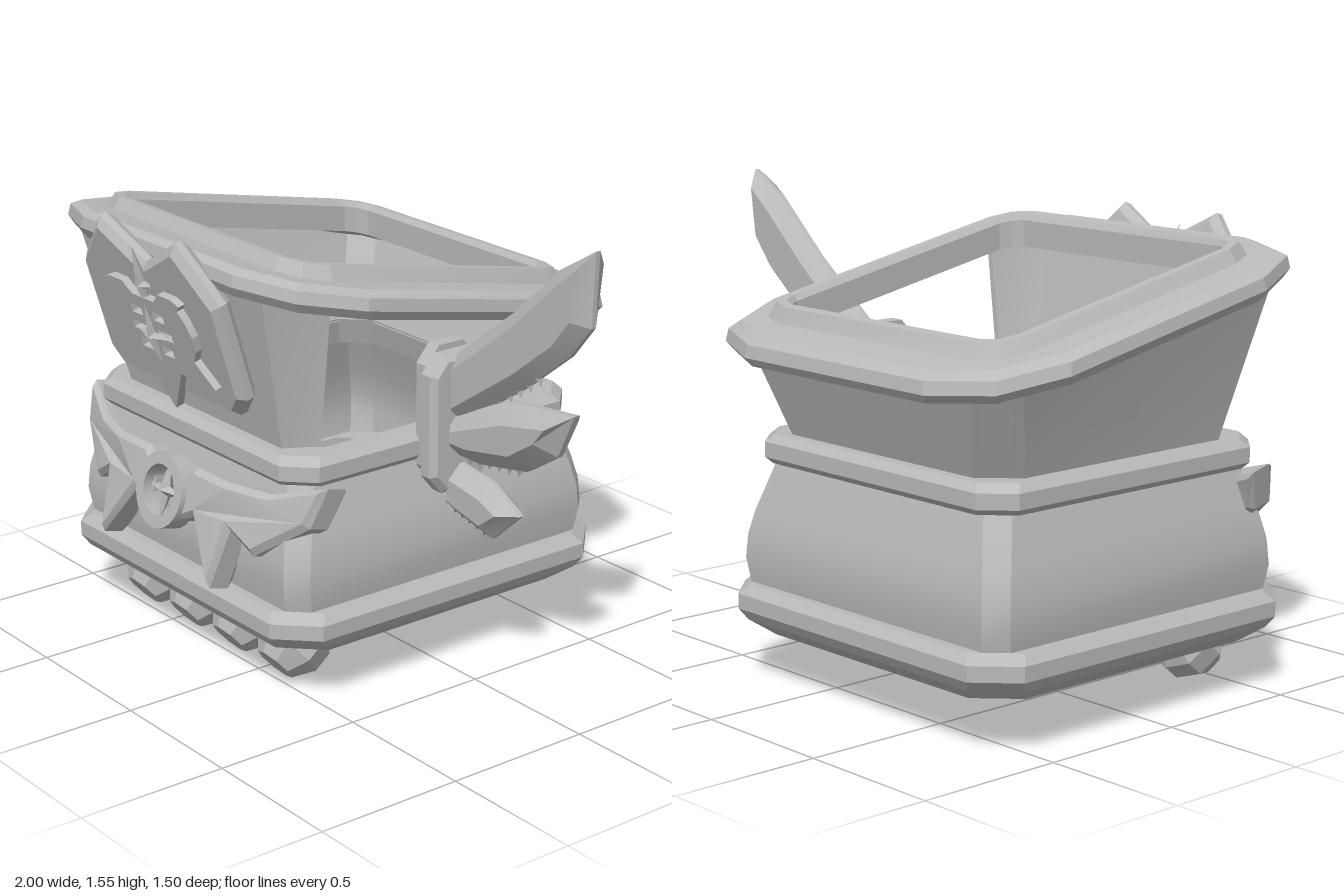
import * as THREE from 'three';
import { toCreasedNormals } from 'three/addons/utils/BufferGeometryUtils.js';

const CX = -0.28, CZ = -0.02; // axis of the hollow body

export function createModel() {
  const model = new THREE.Group();
  // Double sided, as the body is an open shell
  const grey = new THREE.MeshStandardMaterial({ color: 0xbababa, side: THREE.DoubleSide });
  grey.name = 'plain grey';

  const add = (name, geo, parent = model, crease = 0.35) => {
    const mesh = new THREE.Mesh(toCreasedNormals(geo.index ? geo.toNonIndexed() : geo, crease), grey);
    mesh.name = name;
    parent.add(mesh);
    return mesh;
  };

  // Square outline of half width h with cut corners of size c
  const square = (h, c, seg = 1) => {
    const pts = [];
    c = Math.min(c, h);
    for (let q = 0; q < 4; q++) for (let s = 0; s <= seg; s++) {
      const t = (q + s / seg) * Math.PI / 2;
      const sx = q === 0 || q === 3 ? 1 : -1, sz = q < 2 ? 1 : -1;
      pts.push([sx * (h - c) + c * Math.cos(t), sz * (h - c) + c * Math.sin(t)]);
    }
    return pts;
  };

  // Skin between closed outlines; each ring is { pts, y }, tilt raises y towards the front
  const loft = (rings) => {
    const n = rings[0].pts.length, pos = [], idx = [];
    for (const { pts, y, tilt = 0 } of rings)
      for (const [x, z] of pts) pos.push(CX + x, y + tilt * z, CZ + z);
    for (let i = 0; i < rings.length - 1; i++) for (let j = 0; j < n; j++) {
      const a = i * n + j, b = i * n + (j + 1) % n;
      idx.push(a, a + n, b, b, a + n, b + n);
    }
    const g = new THREE.BufferGeometry();
    g.setAttribute('position', new THREE.Float32BufferAttribute(pos, 3));
    g.setIndex(idx);
    return g;
  };
  const stack = (profile, c) => loft(profile.map(([h, y]) => ({ pts: square(h, c), y })));

  const shapeOf = (pts) => new THREE.Shape(pts.map(([x, y]) => new THREE.Vector2(x, y)));
  const mirrored = (half) => [...half, ...half.filter(p => p[0] !== 0).reverse().map(([x, y]) => [-x, y])];
  // Plate from z = 0 to z = depth with a bevelled edge
  const plate = (shape, depth, bevel) => new THREE.ExtrudeGeometry(shape, {
    depth: depth - 2 * bevel, bevelEnabled: bevel > 0, bevelSize: bevel, bevelThickness: bevel,
    bevelOffset: -bevel, bevelSegments: 1, curveSegments: 12,
  }).translate(0, 0, bevel);
  // Four-pointed star with a raised centre
  const star = (rx, ry, inner, depth) => {
    const pos = [];
    const rim = Array.from({ length: 8 }, (_, i) => {
      const t = i * Math.PI / 4;
      return i % 2 ? [inner * Math.cos(t), inner * Math.sin(t)] : [rx * Math.cos(t), ry * Math.sin(t)];
    });
    rim.forEach(([x, y], i) => {
      const [u, v] = rim[(i + 1) % 8];
      pos.push(0, 0, depth, x, y, 0, u, v, 0, 0, 0, -depth, u, v, 0, x, y, 0);
    });
    const g = new THREE.BufferGeometry();
    g.setAttribute('position', new THREE.Float32BufferAttribute(pos, 3));
    return g;
  };

  // Body
  add('baseBand', stack([[0, 0.155], [0.58, 0.155], [0.645, 0.205], [0.667, 0.24], [0.667, 0.29], [0.64, 0.32], [0.59, 0.32]], 0.12));
  add('innerFloor', stack([[0.6, 0.235], [0, 0.235]], 0.1));
  add('lowerBody', stack([[0.6, 0.235], [0.61, 0.32], [0.622, 0.4], [0.616, 0.48], [0.598, 0.56], [0.573, 0.64], [0.545, 0.73]], 0.06));
  add('waistBand', stack([[0.53, 0.71], [0.57, 0.715], [0.588, 0.735], [0.588, 0.785], [0.565, 0.81], [0.505, 0.81], [0.53, 0.71]], 0.09));

  // Upper wall, open on the left side
  const cShape = (h, end) => {
    const side = (k, c) => {
      const i = h - k, e = end - k;
      return [[e, 0.42], [e - 0.06, i], [-i + c, i], [-i, i - c], [-i, -i + c], [-i + c, -i], [e - 0.06, -i], [e, -i + 0.1]];
    };
    return [...side(0, 0.11), ...side(0.02, 0.07).reverse()];
  };
  add('upperWall', loft([
    { pts: cShape(0.525, 0.49), y: 0.8 },
    { pts: cShape(0.64, 0.55), y: 1.22, tilt: 0.2 },
  ]));

  // Sloping rim
  add('rim', loft([
    [0.505, 1.22, 0.06], [0.66, 1.19, 0.27], [0.705, 1.195, 0.3], [0.722, 1.225, 0.3], [0.715, 1.265, 0.3], [0.68, 1.285, 0.28],
    [0.575, 1.285, 0.13], [0.55, 1.33, 0.11], [0.52, 1.33, 0.08], [0.505, 1.31, 0.06], [0.505, 1.22, 0.06],
  ].map(([h, y, c]) => ({ pts: square(h, c, 2).map(([x, z]) => [x, z > 0 ? z * 0.97 : z]), y, tilt: 0.2 }))));

  // Four faceted knobs below the front, tipped forward
  const knobProfile = [[0, -0.1], [0.07, -0.1], [0.118, -0.035], [0.118, 0.035], [0.07, 0.1], [0, 0.1]];
  for (let i = 0; i < 4; i++) {
    const knob = add('knob', new THREE.LatheGeometry(knobProfile.map(p => new THREE.Vector2(...p)), 8), model, 0.1);
    knob.position.set(-0.66 + i * 0.253, 0.115, 0.43);
    knob.rotation.x = Math.PI * 0.72;
  }

  // Leaning front shield with a relief crest
  const shield = new THREE.Group();
  shield.name = 'frontShield';
  shield.position.set(CX, 0.885, 0.515);
  shield.rotation.x = 0.29;
  shield.scale.y = 1.05;
  model.add(shield);
  const edge = [[0, 0.03], [0.31, 0.03], [0.375, 0.1], [0.375, 0.42], [0.21, 0.59], [0, 0.48]];
  add('shieldPlate', plate(shapeOf(mirrored(edge)), 0.075, 0.025), shield);
  const crest = shapeOf(mirrored([[0, -0.01], [0.1, 0.14], [0.285, 0.135], [0.205, 0.21], [0.23, 0.25], [0.235, 0.3],
    [0.215, 0.35], [0.19, 0.38], [0.21, 0.4], [0.17, 0.415], [0.1, 0.415], [0.06, 0.38], [0, 0.38]]));
  for (const s of [-1, 1]) for (const [y, w] of [[0.19, 0.06], [0.25, 0.08], [0.31, 0.06]]) {
    const x0 = Math.min(s * 0.03, s * (0.03 + w)), x1 = x0 + w;
    crest.holes.push(new THREE.Path([[x0, y], [x0, y + 0.03], [x1, y + 0.03], [x1, y]].map(p => new THREE.Vector2(...p))));
  }
  add('crest', plate(crest, 0.03, 0), shield).position.z = 0.07;
  add('crestStar', star(0.09, 0.13, 0.025, 0.03), shield).position.set(0, 0.25, 0.095);
  add('crestUpperSpike', star(0.045, 0.13, 0.018, 0.025), shield).position.set(0, 0.42, 0.085);

  // Winged belt buckle, arms swept back and leaning with the body
  const belt = new THREE.Group();
  belt.name = 'wingedBuckle';
  belt.position.set(CX, 0.55, 0.56);
  belt.rotation.x = -0.25;
  model.add(belt);
  for (const s of [-1, 1]) {
    const half = [[0.08, -0.08], [0.165, -0.04], [0.305, -0.235], [0.34, -0.03], [0.44, -0.085], [0.62, 0.06],
      [0.655, 0.2], [0.46, 0.125], [0.3, 0.115], [0.13, 0.115], [0.08, 0.07]];
    const geo = plate(shapeOf(half.map(([x, y]) => [s * x, y])), 0.11, 0.02);
    const p = geo.attributes.position;
    for (let i = 0; i < p.count; i++)
      p.setZ(i, p.getZ(i) - Math.max(0, Math.abs(p.getX(i)) - 0.3) * 0.3);
    add(s > 0 ? 'leftWing' : 'rightWing', geo, belt);
  }
  const ring = new THREE.Shape().absarc(0, 0, 0.125, 0, Math.PI * 2);
  ring.holes.push(new THREE.Path().absarc(0, 0, 0.085, 0, Math.PI * 2, true));
  add('buckleRing', plate(ring, 0.07, 0), belt).position.z = 0.06;
  add('buckleStar', star(0.09, 0.1, 0.025, 0.03), belt).position.z = 0.1;

  // Side bracket: a narrow inner plate behind a wider outer one
  const octagon = (w, lo, hi) => shapeOf([[-w, lo + 0.06], [-w + 0.05, lo], [w - 0.05, lo], [w, lo + 0.06],
    [w, hi - 0.06], [w - 0.05, hi], [-w + 0.05, hi], [-w, hi - 0.06]]);
  add('bracketInner', plate(octagon(0.1, 0.64, 1.1), 0.05, 0).rotateY(Math.PI / 2)).position.set(0.29, 0, CZ);
  add('bracketOuter', plate(octagon(0.12, 0.62, 1.08), 0.08, 0.02).rotateY(Math.PI / 2)).position.set(0.32, 0, CZ);

  // Three feathers with toothed lower edges
  const feather = (name, outline, half, from, to, teeth) => {
    const group = new THREE.Group();
    group.name = name;
    group.position.z = CZ;
    model.add(group);
    add('blade', plate(shapeOf(outline), half * 2, half * 0.85).translate(0, 0, -half), group);
    const dx = to[0] - from[0], dy = to[1] - from[1];
    for (let i = 0; i < teeth; i++) {
      const t = (i + 0.5) / teeth;
      const tooth = add('tooth', new THREE.ConeGeometry(0.03, 0.06, 4), group, 0.1);
      tooth.position.set(from[0] + dx * t, from[1] + dy * t, 0);
      tooth.rotation.z = Math.atan2(dy, dx) + Math.PI - 0.3;
    }
  };
  feather('upperFeather', [[0.36, 0.86], [0.42, 0.86], [0.72, 1.06], [0.9, 1.2], [0.99, 1.31], [1, 1.55], [0.85, 1.46], [0.65, 1.28], [0.36, 1.06]],
    0.056, [0.42, 0.87], [0.78, 1.11], 8);
  feather('middleFeather', [[0.36, 0.74], [0.5, 0.74], [0.72, 0.78], [0.86, 0.87], [0.93, 1.02], [0.65, 0.99], [0.36, 0.88]],
    0.072, [0.42, 0.74], [0.7, 0.78], 6);
  feather('lowerFeather', [[0.33, 0.56], [0.4, 0.54], [0.56, 0.505], [0.69, 0.62], [0.56, 0.69], [0.36, 0.72]],
    0.056, [0.36, 0.56], [0.54, 0.52], 5);

  return model;
}
